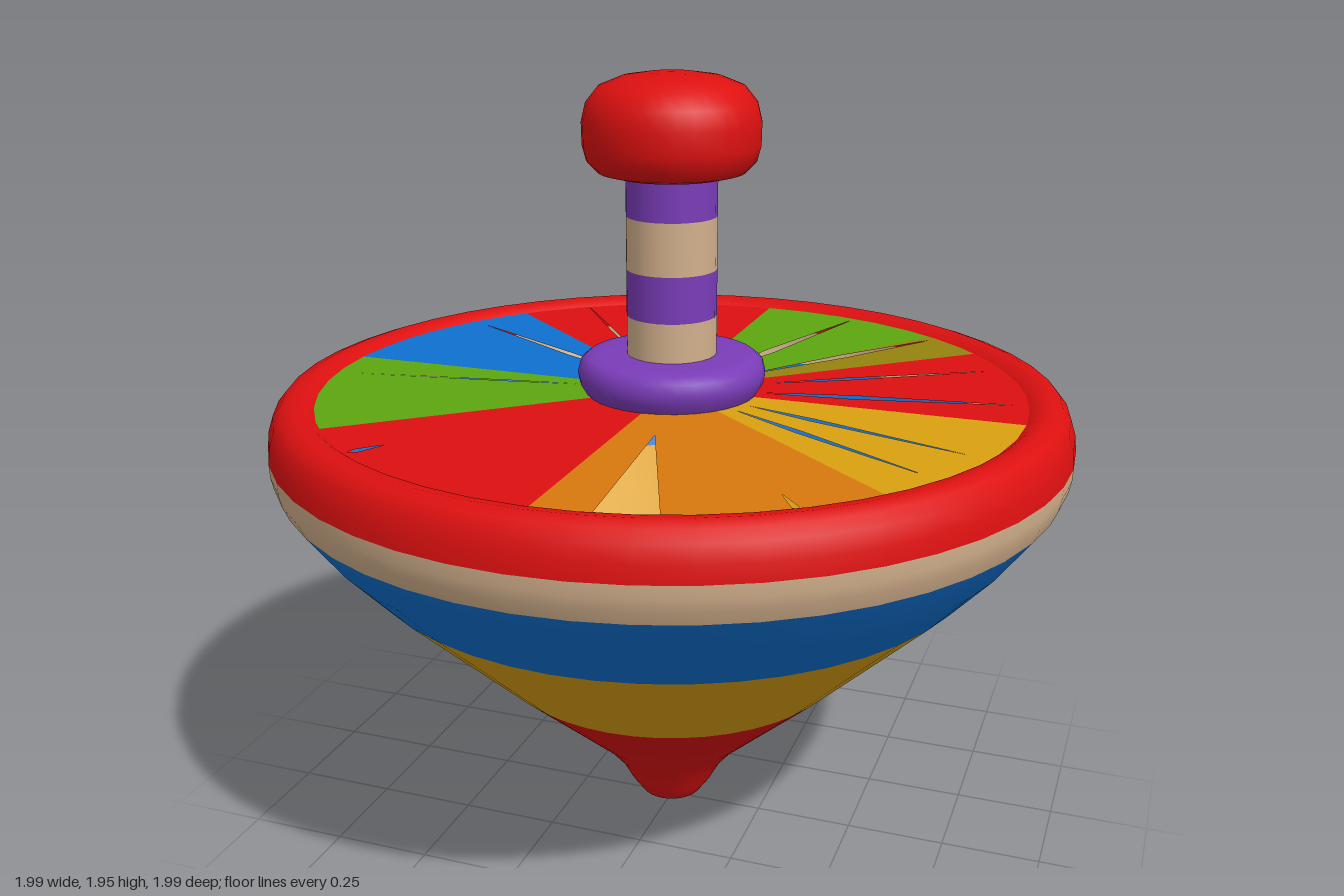
import * as THREE from 'three';

const mat = (name, color, side = THREE.DoubleSide) => {
  const m = new THREE.MeshStandardMaterial({ color, side });
  m.name = name;
  return m;
};

export function createModel() {
  const top = new THREE.Group();
  top.name = 'spinningTop';
  const red = mat('red', 0xdd1010), blue = mat('blue', 0x0f70d0), yellow = mat('yellow', 0xdaa010);
  const cream = mat('cream', 0xd2b08c), purple = mat('purple', 0x7a3cb8), green = mat('green', 0x5ca60f);
  const orange = mat('orange', 0xd8790f), olive = mat('olive', 0x94820f);

  const add = (name, geometry, material) => {
    const mesh = new THREE.Mesh(geometry, material);
    mesh.name = name;
    top.add(mesh);
  };
  // Turned part from [radius, height] pairs, bottom to top
  const turn = (name, material, pts, segments = 48) =>
    add(name, new THREE.LatheGeometry(pts.map(([r, y]) => new THREE.Vector2(r, y)), segments), material);

  // Hollow body, one band per colour
  turn('tip', red, [[0, 0], [0.04, 0.006], [0.08, 0.028], [0.11, 0.07], [0.14, 0.125], [0.19, 0.185], [0.3, 0.285], [0.46, 0.43]]);
  turn('lowerBand', yellow, [[0.46, 0.43], [0.62, 0.585], [0.785, 0.745]]);
  turn('upperBand', blue, [[0.785, 0.745], [0.89, 0.86], [0.975, 0.975]]);
  turn('creamBand', cream, [[0.975, 0.975], [0.99, 1.01], [0.996, 1.04], [0.997, 1.07]]);
  turn('rim', red, [[0.997, 1.07], [0.993, 1.11], [0.98, 1.15], [0.96, 1.174], [0.93, 1.185], [0.9, 1.18], [0.88, 1.165]]);

  // Painted lid: sectors [start, end, material, slits], in degrees from +x towards +z
  // Slit: [angle, inner radius, widest radius, outer radius, half width]
  const sectors = [
    [0, 40, yellow, [[18, 0.24, 0.42, 0.83, 0.009], [30, 0.24, 0.45, 0.83, 0.009]]],
    [40, 90, orange, [[76.5, 0.37, 0.86, 0.87, 0.068], [53.5, 0.78, 0.86, 0.87, 0.008]]],
    [90, 139, red, [[126.5, 0.78, 0.85, 0.87, 0.01]]],
    [139, 180, green, [[170, 0.24, 0.4, 0.84, 0.003]]],
    [180, 221, blue, [[210, 0.24, 0.42, 0.83, 0.009]]],
    [221, 270, red, [[234, 0.24, 0.6, 0.87, 0.005]]],
    [270, 306, green, [[288, 0.24, 0.44, 0.86, 0.014]]],
    [306, 319, olive, [[307.8, 0.24, 0.55, 0.86, 0.012]]],
    [319, 360, red, [[330, 0.26, 0.46, 0.84, 0.008], [350, 0.23, 0.45, 0.85, 0.014]]],
  ];
  const rad = THREE.MathUtils.degToRad;
  sectors.forEach(([a, b, material, slits], i) => {
    const shape = new THREE.Shape();
    shape.absarc(0, 0, 0.885, rad(a), rad(b), false);
    shape.absarc(0, 0, 0.19, rad(b), rad(a), true);
    for (const [angle, r0, r1, r2, w] of slits) {
      const c = Math.cos(rad(angle)), s = Math.sin(rad(angle));
      const at = (r, o) => new THREE.Vector2(r * c - o * s, r * s + o * c);
      shape.holes.push(new THREE.Path([at(r0, 0), at(r1, w), at(r2, 0), at(r1, -w)]));
    }
    const g = new THREE.ShapeGeometry(shape, 16);
    g.rotateX(Math.PI / 2).translate(0, 1.166, 0);
    add('lidSector' + (i + 1), g, material);
  });

  // Handle: collar, banded stem and knob
  turn('collar', purple, [[0.215, 1.165], [0.23, 1.19], [0.235, 1.215], [0.228, 1.242], [0.21, 1.257], [0.18, 1.262], [0.1, 1.262]], 32);
  const bands = [1.25, 1.36, 1.475, 1.605, 1.73];
  for (let i = 0; i < 4; i++) {
    turn('stemBand' + (i + 1), i % 2 ? purple : cream, [[0.112, bands[i]], [0.112, bands[i + 1]]], 24);
  }
  turn('knob', red, [[0, 1.702], [0.14, 1.702], [0.18, 1.712], [0.205, 1.738], [0.215, 1.775], [0.216, 1.83],
    [0.205, 1.875], [0.175, 1.912], [0.12, 1.934], [0.06, 1.943], [0, 1.945]], 32);

  return top;
}
